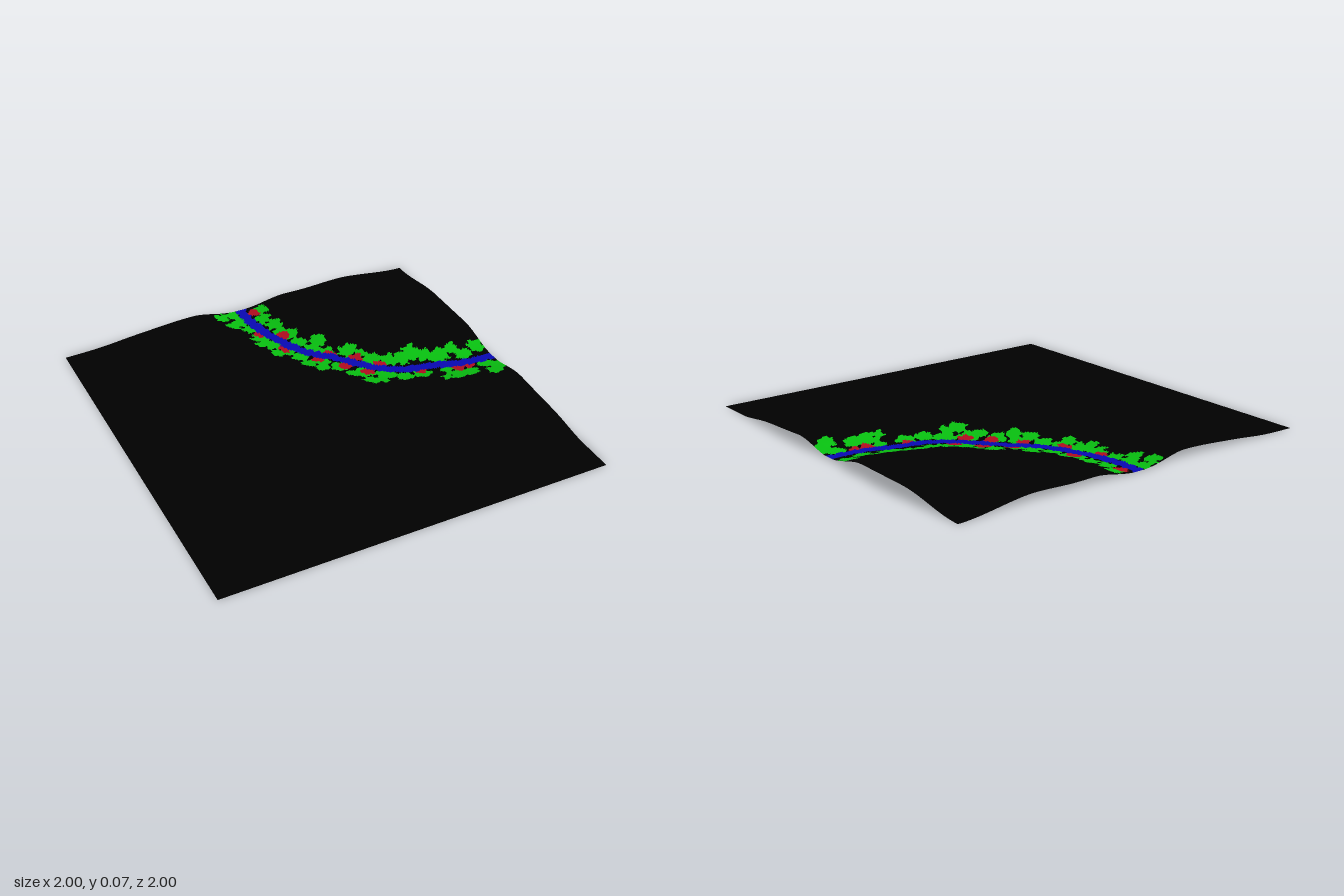
import * as THREE from 'three';

const N = 180; // grid cells per side
const { smoothstep } = THREE.MathUtils;

// Ridge heights sampled evenly from -1 to 1, read through a spline
const profile = (heights) => {
  const last = heights.length - 1;
  const curve = new THREE.SplineCurve(heights.map((h, i) => new THREE.Vector2((2 * i) / last - 1, h)));
  return (v) => curve.getPoint((v + 1) / 2).y;
};
const ridgeX = profile([0, 0.01, 0.043, 0.062, 0.07, 0.058, 0.06, 0.054, 0.064, 0.067, 0.058]);
const ridgeZ = profile([0.043, 0.052, 0.06, 0.06, 0.064, 0.068, 0.055, 0.042, 0.027, 0, 0]);

// Winding course of the river (x, z)
const course = new THREE.SplineCurve([
  [0, -1.05], [0, -0.9], [0.02, -0.77], [0.06, -0.64], [0.14, -0.48], [0.27, -0.34],
  [0.38, -0.21], [0.51, -0.11], [0.67, -0.07], [0.83, -0.02], [1.05, 0],
].map(([x, z]) => new THREE.Vector2(x, z))).getPoints(100);
const riverDistance = (x, z) => Math.min(...course.map((p) => Math.hypot(p.x - x, p.y - z)));

// Vegetation clumps along both banks (x, z, radius)
const outerBank = [
  [-0.13, -0.95, 0.035], [-0.06, -0.96, 0.035], [-0.1, -0.86, 0.035], [-0.04, -0.88, 0.04],
  [-0.03, -0.8, 0.04], [-0.01, -0.7, 0.05], [-0.04, -0.63, 0.03], [0.02, -0.61, 0.05],
  [0, -0.52, 0.035], [0.06, -0.52, 0.04], [0.1, -0.45, 0.045], [0.1, -0.36, 0.035],
  [0.15, -0.29, 0.035], [0.18, -0.37, 0.05], [0.24, -0.27, 0.045], [0.27, -0.18, 0.035],
  [0.33, -0.17, 0.05], [0.32, -0.07, 0.04], [0.37, -0.06, 0.035], [0.43, -0.11, 0.05],
  [0.5, -0.04, 0.04], [0.59, -0.03, 0.045], [0.68, 0.08, 0.03], [0.75, 0.07, 0.05],
  [0.72, 0, 0.03], [0.82, 0.08, 0.04], [0.93, 0.04, 0.04], [0.93, 0.13, 0.04], [0.98, 0.09, 0.04],
];
const innerBank = [
  [0.09, -0.94, 0.04], [0.07, -0.86, 0.04], [0.1, -0.78, 0.04], [0.1, -0.7, 0.04],
  [0.14, -0.66, 0.035], [0.14, -0.57, 0.04], [0.24, -0.53, 0.04], [0.19, -0.49, 0.04],
  [0.24, -0.42, 0.04], [0.34, -0.38, 0.045], [0.33, -0.31, 0.04], [0.39, -0.33, 0.03],
  [0.42, -0.25, 0.05], [0.49, -0.21, 0.04], [0.56, -0.19, 0.045], [0.62, -0.2, 0.045],
  [0.67, -0.16, 0.04], [0.74, -0.12, 0.05], [0.82, -0.14, 0.035], [0.87, -0.08, 0.04], [0.96, -0.11, 0.04],
];
// Patches of bare soil at the water's edge
const soilPatches = [
  [0.05, -0.94], [0, -0.74], [0.1, -0.67], [0.06, -0.55], [0.17, -0.39], [0.24, -0.4], [0.27, -0.27],
  [0.35, -0.31], [0.35, -0.17], [0.43, -0.2], [0.6, -0.06], [0.79, 0.01], [0.85, 0.01],
].map(([x, z]) => [x, z, 0.032]);

// Small irregular wobble for ragged clump outlines
const wobble = (x, z) => 0.5 * Math.sin(95 * x + 4 * Math.sin(41 * z)) + 0.5 * Math.sin(103 * z + 4 * Math.sin(37 * x));
const inside = (list, x, z) => {
  const w = 1.08 + 0.3 * wobble(x, z);
  return list.some(([cx, cz, r]) => Math.hypot(x - cx, z - cz) < r * w);
};

// Rolling hills, flat at two edges and cut by the river valley
function height(x, z) {
  const hills = (ridgeX(x) * ridgeZ(z)) / 0.068;
  const valley = 0.1 + 0.9 * smoothstep(riverDistance(x, z), 0.02, 0.28);
  const corner = smoothstep(Math.hypot(x - 1, z + 1), 0, 0.4);
  const ripple = 1 + 0.07 * Math.sin(11 * x + 4 * z) * Math.sin(9 * z - 3 * x);
  return Math.max(0, hills * valley * corner * ripple);
}

function surfaceAt(x, z) {
  if (riverDistance(x, z) < 0.028 + 0.006 * wobble(x, z)) return 'river';
  if (inside(soilPatches, x, z)) return 'bareSoil';
  if (inside(outerBank, x, z) || inside(innerBank, x, z)) return 'vegetation';
  return 'ground';
}

export function createModel() {
  const model = new THREE.Group();
  model.name = 'terrain';

  // Height field shared by all surfaces
  const sheet = new THREE.PlaneGeometry(2, 2, N, N).rotateX(-Math.PI / 2);
  const pos = sheet.attributes.position;
  for (let i = 0; i < pos.count; i++) pos.setY(i, height(pos.getX(i), pos.getZ(i)));
  sheet.computeVertexNormals();

  // Sort the grid cells by what covers them
  const colors = { ground: 0x000000, river: 0x0808b4, bareSoil: 0xb40c20, vegetation: 0x08c010 };
  const faces = { ground: [], river: [], bareSoil: [], vegetation: [] };
  const index = sheet.index.array;
  for (let i = 0; i < index.length; i += 3) {
    const tri = [index[i], index[i + 1], index[i + 2]];
    const x = tri.reduce((s, v) => s + pos.getX(v), 0) / 3;
    const z = tri.reduce((s, v) => s + pos.getZ(v), 0) / 3;
    faces[surfaceAt(x, z)].push(...tri);
  }

  // One mesh per surface, with common vertices and normals so the joins stay smooth
  for (const [name, list] of Object.entries(faces)) {
    const geometry = new THREE.BufferGeometry();
    geometry.setAttribute('position', pos);
    geometry.setAttribute('normal', sheet.attributes.normal);
    geometry.setIndex(list);
    const mesh = new THREE.Mesh(geometry, new THREE.MeshStandardMaterial({ color: colors[name], side: THREE.DoubleSide }));
    mesh.name = name;
    model.add(mesh);
  }
  return model;
}
